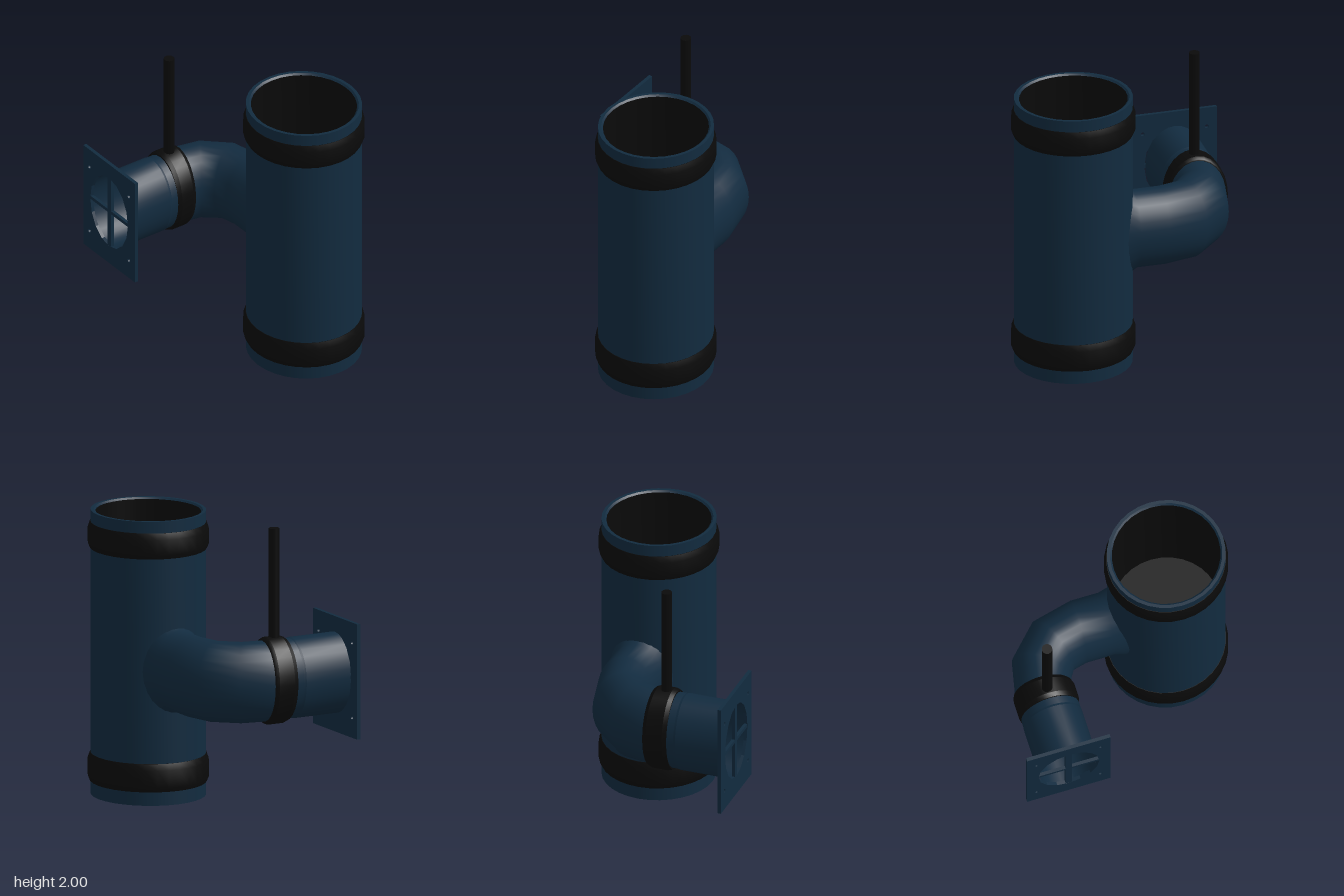
import * as THREE from 'three';
import { toCreasedNormals } from 'three/addons/utils/BufferGeometryUtils.js';

const blue = new THREE.MeshStandardMaterial({ color: 0x122b3f, side: THREE.DoubleSide });
const black = new THREE.MeshStandardMaterial({ color: 0x0a0a0a, side: THREE.DoubleSide });

const MAIN = { x: 0.427, z: -0.262 };                      // axis of the upright pipe
const OUT = { x: -0.556, y: 0.937, rx: 0.21, ry: 0.282 };  // oval outlet

export function createModel() {
  const model = new THREE.Group();

  const add = (name, geometry, material, parent = model) => {
    const mesh = new THREE.Mesh(geometry, material);
    mesh.name = name;
    parent.add(mesh);
    return mesh;
  };
  const lathe = (points, sides = 32) => toCreasedNormals(
    new THREE.LatheGeometry(points.map(p => new THREE.Vector2(...p)), sides), 0.6);

  // Upright pipe, slightly oval, with rounded rims
  const upright = new THREE.Group();
  upright.name = 'uprightPipe';
  upright.position.set(MAIN.x, 0, MAIN.z);
  upright.scale.x = 1.043;
  model.add(upright);
  add('pipeWall', lathe([[0.358, 0.012], [0.37, 0], [0.392, 0], [0.392, 1.99],
    [0.37, 1.99], [0.358, 1.978]]), blue, upright);

  // Dark lining, closed off halfway
  add('pipeLining', lathe([[0.358, 1.978], [0.358, 0.012]]), black, upright);
  add('pipeDivider', lathe([[0.358, OUT.y], [0, OUT.y]]), black, upright);

  // Clamping bands
  const band = (low, high) => lathe([[0.388, low], [0.397, low], [0.41, low + 0.03],
    [0.41, high - 0.045], [0.395, high], [0.388, high]]);
  add('lowerBand', band(0.095, 0.292), black, upright);
  add('upperBand', band(1.727, 1.908), black, upright);

  // Elbow: oval sections between outer and inner bend points [x, z], flared at the pipe
  add('elbow', loft([
    [[0.12, -0.5], [0.12, -0.03], 0.36],
    [[0.0, -0.475], [0.0, -0.055]],
    [[-0.2, -0.475], [-0.2, -0.055]],
    [[-0.49, -0.405], [-0.3, -0.03]],
    [[-0.7, -0.19], [-0.345, 0.04]],
    [[-0.755, 0.07], [-0.35, 0.09]],
    [[-0.76, 0.16], [-0.35, 0.16]],
  ]), blue);

  // Oval lathe lying along z
  const alongZ = (points, rx = OUT.rx, ry = OUT.ry) => {
    const g = lathe(points, 28);
    g.rotateX(Math.PI / 2);
    g.scale(rx, ry, 1);
    g.translate(OUT.x, OUT.y, 0);
    return g;
  };

  // Damper collar, its back edge leaning with the end of the elbow
  const collar = alongZ([[0.92, 0.06], [0.96, 0.06], [1, 0.085], [1, 0.205],
    [0.96, 0.235], [0.92, 0.235]], 0.216, 0.305);
  const p = collar.attributes.position;
  for (let i = 0; i < p.count; i++) {
    if (p.getZ(i) < 0.1) p.setZ(i, p.getZ(i) + (p.getX(i) - OUT.x + 0.21) * 0.06);
  }
  add('damperCollar', collar, black);
  add('damperBlade', alongZ([[0, 0.16], [0.98, 0.16]]), black);
  add('controlRod', new THREE.CylinderGeometry(0.037, 0.037, 0.82, 12), black)
    .position.set(OUT.x, 1.59, 0.162);

  // Outlet sleeve with a shallow step behind the collar
  add('outletSleeve', alongZ([[0.985, 0.16], [0.985, 0.285], [1, 0.3], [1, 0.65]]), blue);

  // Wall plate with an oval opening and screw holes
  const w = 0.299, h = 0.404, plateY = 0.924;
  const plate = new THREE.Shape();
  plate.moveTo(-w, -h).lineTo(w, -h).lineTo(w, h).lineTo(-w, h).closePath();
  const opening = new THREE.Path();
  opening.absellipse(0, OUT.y - plateY, 0.218, 0.279, 0, Math.PI * 2, true);
  plate.holes.push(opening);
  for (const sx of [-1, 1]) for (const sy of [-1, 1]) {
    const hole = new THREE.Path();
    hole.absarc(sx * 0.228, sy * 0.262, 0.014, 0, Math.PI * 2, true);
    plate.holes.push(hole);
  }
  add('wallPlate', new THREE.ExtrudeGeometry(plate,
    { depth: 0.025, bevelEnabled: false, curveSegments: 8 }), blue)
    .position.set(OUT.x, plateY, 0.645);

  // Crossing grille bars
  add('uprightBar', new THREE.BoxGeometry(0.045, 0.56, 0.023), blue)
    .position.set(OUT.x, OUT.y, 0.657);
  add('levelBar', new THREE.BoxGeometry(0.436, 0.025, 0.023), blue)
    .position.set(OUT.x, 0.942, 0.657);

  return model;
}

// Smooth tube through oval sections [outer, inner, half height]
function loft(sections, sides = 28) {
  const positions = [], index = [];
  sections.forEach(([outer, inner, ry = OUT.ry], s) => {
    for (let i = 0; i < sides; i++) {
      const a = i / sides * Math.PI * 2, t = (1 + Math.cos(a)) / 2;
      positions.push(
        inner[0] + (outer[0] - inner[0]) * t,
        OUT.y + ry * Math.sin(a),
        inner[1] + (outer[1] - inner[1]) * t);
      if (s === 0) continue;
      const j = (i + 1) % sides, b = s * sides, c = b - sides;
      index.push(c + i, b + i, c + j, c + j, b + i, b + j);
    }
  });
  const g = new THREE.BufferGeometry();
  g.setAttribute('position', new THREE.Float32BufferAttribute(positions, 3));
  g.setIndex(index);
  g.computeVertexNormals();
  return g;
}
